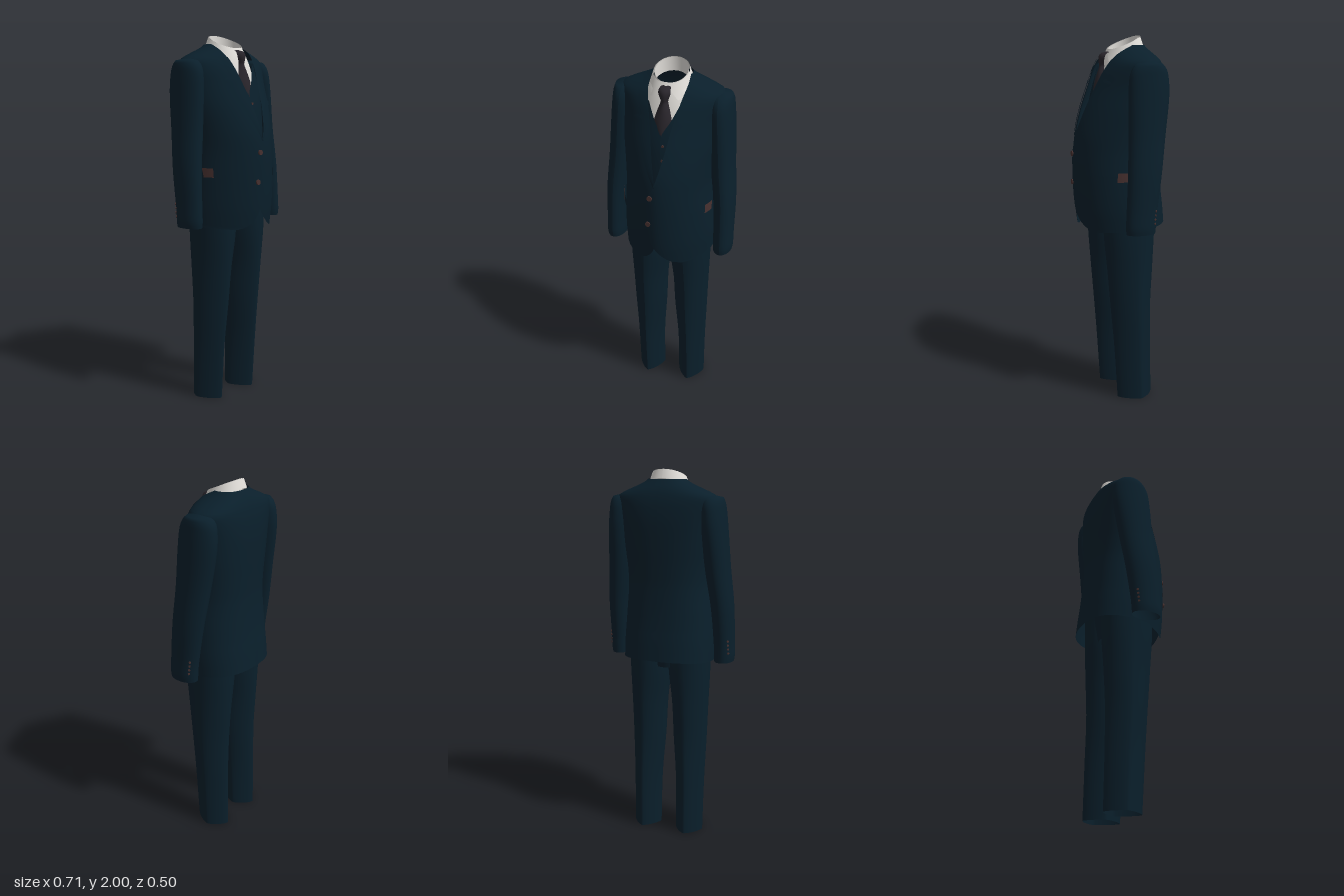
import * as THREE from 'three';

const mat = (name, color) => {
  const m = new THREE.MeshStandardMaterial({ color, side: THREE.DoubleSide });
  m.name = name;
  return m;
};

// Smooth interpolation through rows [y, a, b, ...] sorted by rising y
function at(rows, y) {
  const n = rows.length - 1;
  y = Math.min(Math.max(y, rows[0][0]), rows[n][0]);
  let i = 0;
  while (i < n - 1 && y > rows[i + 1][0]) i++;
  const A = rows[i], B = rows[i + 1], h = B[0] - A[0], t = (y - A[0]) / h;
  const slope = (j, k) => {
    const p = rows[Math.max(j - 1, 0)], q = rows[Math.min(j + 1, n)];
    return (q[k] - p[k]) / (q[0] - p[0]);
  };
  const t2 = t * t, t3 = t2 * t;
  return A.slice(1).map((a, j) => (2 * t3 - 3 * t2 + 1) * a + (t3 - 2 * t2 + t) * h * slope(i, j + 1)
    + (3 * t2 - 2 * t3) * B[j + 1] + (t3 - t2) * h * slope(i + 1, j + 1));
}

// Signed power, for superellipse sections
const pw = (v, e) => Math.sign(v) * Math.abs(v) ** e;

// Point on a loft of rows [y, centreX, halfWidth, frontZ, backZ, frontPointedness, backPointedness]; angle 0 is the front
function point(rows, a, y, off = 0) {
  const [cx, hw, zf, zb, ef = 1, eb = ef] = at(rows, y), zc = zb + (zf - zb) * 0.45;
  const s = Math.sin(a), c = Math.cos(a), e = c < 0 ? eb : ef;
  return [cx + hw * pw(s, e) + off * s, y, zc + (c > 0 ? zf - zc : zc - zb) * pw(c, e) + off * c];
}

// Angle at which the front of a loft reaches x
function angleAt(rows, x, y) {
  const [, hw, , , ef = 1] = at(rows, y);
  return Math.asin(pw(THREE.MathUtils.clamp(x / hw, -1, 1), 1 / ef));
}

// Grid surface from fn(u, v), mirrored in x when side is -1
function sheet(fn, nu, nv, side = 1) {
  const pos = [], idx = [];
  for (let j = 0; j <= nv; j++) for (let i = 0; i <= nu; i++) {
    const [x, y, z] = fn(i / nu, j / nv);
    pos.push(side * x, y, z);
    if (i < nu && j < nv) {
      const a = j * (nu + 1) + i, b = a + 1, d = a + nu + 1, c = d + 1;
      if (side > 0) idx.push(a, b, c, a, c, d);
      else idx.push(a, c, b, a, d, c);
    }
  }
  const g = new THREE.BufferGeometry();
  g.setAttribute('position', new THREE.Float32BufferAttribute(pos, 3));
  g.setIndex(idx);
  g.computeVertexNormals();
  return g;
}

const mix = THREE.MathUtils.lerp;
const TAU = Math.PI * 2;

const BODY = [
  [0.98, 0, 0.245, 0.22, -0.24], [1.1, 0, 0.245, 0.235, -0.23], [1.25, 0, 0.238, 0.243, -0.215],
  [1.4, 0, 0.228, 0.243, -0.205], [1.5, 0, 0.232, 0.232, -0.205], [1.62, 0, 0.245, 0.198, -0.207],
  [1.74, 0, 0.255, 0.15, -0.207], [1.82, 0, 0.268, 0.115, -0.2], [1.865, 0, 0.268, 0.088, -0.19],
  [1.885, 0, 0.235, 0.076, -0.183], [1.905, 0, 0.188, 0.063, -0.173], [1.93, 0, 0.128, 0.045, -0.155],
  [1.95, 0, 0.1, 0.025, -0.14]].map(r => [...r, 1.12, 0.82]);
// Front edge of the jacket: [y, left panel, right panel]
const EDGE = [
  [0.98, 0.12, 0.12], [1.0, 0.07, 0.07], [1.05, 0.012, 0.025], [1.1, -0.02, 0.01], [1.2, -0.042, 0.003],
  [1.38, -0.045, -0.003], [1.45, -0.01, 0.005], [1.6, 0.03, 0.03], [1.74, 0.056, 0.056],
  [1.85, 0.082, 0.082], [1.92, 0.098, 0.098], [1.95, 0.095, 0.095]];
const VEST = [
  [1.08, 0, 0.19, 0.15, -0.15], [1.3, 0, 0.19, 0.166, -0.15], [1.45, 0, 0.19, 0.166, -0.15],
  [1.6, 0, 0.19, 0.155, -0.15], [1.69, 0, 0.19, 0.138, -0.15], [1.84, 0, 0.17, 0.095, -0.15]];
const VEST_EDGE = [[1.08, 0.05], [1.12, 0.01], [1.2, 0], [1.6, 0], [1.69, 0.002], [1.76, 0.042], [1.84, 0.08]];
const SHIRT = [
  [1.64, 0, 0.17, 0.13, -0.1], [1.78, 0, 0.15, 0.1, -0.1], [1.88, 0, 0.12, 0.07, -0.1], [1.93, 0, 0.09, 0.045, -0.1]];
const SLEEVE = [
  [1.0, 0.303, 0.05, 0.08, -0.078], [1.03, 0.304, 0.053, 0.084, -0.08], [1.1, 0.303, 0.053, 0.081, -0.086],
  [1.3, 0.296, 0.058, 0.07, -0.114], [1.5, 0.275, 0.063, 0.058, -0.143], [1.7, 0.26, 0.064, 0.052, -0.17],
  [1.8, 0.253, 0.062, 0.042, -0.167], [1.845, 0.25, 0.058, 0.02, -0.15], [1.868, 0.246, 0.046, -0.012, -0.12],
  [1.876, 0.235, 0.004, -0.06, -0.07]];
// Trouser legs, pressed to creases front and back towards the hem
const LEG = [
  [0.005, 0.127, 0.08, 0.053, -0.155, 1.45], [0.3, 0.127, 0.083, 0.072, -0.15, 1.4], [0.55, 0.122, 0.095, 0.092, -0.147, 1.3],
  [0.75, 0.12, 0.101, 0.108, -0.155, 1.2], [0.95, 0.113, 0.112, 0.123, -0.163, 1.05], [1.12, 0.113, 0.113, 0.125, -0.165, 1]];
const SEAT = [[0.96, 0, 0.1, 0.09, -0.13], [1.15, 0, 0.13, 0.122, -0.16]];

export function createModel() {
  const root = new THREE.Group();
  root.name = 'suit';
  const navy = mat('navy wool', 0x0a1f2b);
  const white = mat('white cotton', 0xe0ddd8);
  const tieGrey = mat('charcoal silk', 0x29252b);
  const brown = mat('brown button', 0x46302f);
  const add = (name, geo, m) => {
    const mesh = new THREE.Mesh(geo, m);
    mesh.name = name;
    root.add(mesh);
    return mesh;
  };
  // Closed loft through all of its rows
  const tube = (rows, nu, nv, side) => sheet((u, v) =>
    point(rows, u * TAU, mix(rows[0][0], rows[rows.length - 1][0], v)), nu, nv, side);
  // Thin patch lying on the jacket between two x values
  const patch = (x0, x1, y0, y1, off, side) => sheet((u, v) => {
    const y = mix(y0, y1, v);
    return point(BODY, angleAt(BODY, mix(x0, x1, u), y), y, off);
  }, 10, 3, side);
  const button = (name, p, r, dir) => {
    const b = add(name, new THREE.CylinderGeometry(r, r, 0.008, 16), brown);
    b.position.set(...p);
    b.quaternion.setFromUnitVectors(new THREE.Vector3(0, 1, 0), new THREE.Vector3(...dir).normalize());
  };

  for (const s of [1, -1]) {
    const side = s > 0 ? 'left' : 'right';
    const edge = y => at(EDGE, y)[s > 0 ? 0 : 1];
    const lift = s > 0 ? 0.006 : 0;

    // Jacket half from the front edge round to the back seam
    add(side + 'JacketPanel', sheet((u, v) => {
      const y = mix(0.98, 1.95, v);
      const a = mix(angleAt(BODY, edge(y), y), Math.PI, u);
      const p = point(BODY, a, y, lift * Math.max(0, Math.cos(a)));
      p[1] += 0.02 * (1 - Math.cos(a)) * Math.max(0, 1 - (y - 0.98) / 0.2);
      return p;
    }, 40, 64, s), navy);

    // Lapel folded back along the opening
    const LAPEL = [[1.45, 0.004], [1.6, 0.05], [1.74, 0.085], [1.765, 0.09], [1.775, 0.055], [1.88, 0.05]];
    add(side + 'Lapel', sheet((u, v) => {
      const y = mix(1.45, 1.88, v), x = edge(y) + at(LAPEL, y)[0] * u;
      return point(BODY, angleAt(BODY, x, y), y, 0.009 - 0.003 * u);
    }, 6, 50, s), navy);

    // Pocket flap and its lining
    add(side + 'PocketFlap', patch(0.14, 0.228, 1.25, 1.29, 0.008, s), navy);
    add(side + 'PocketLining', patch(0.21, 0.23, 1.262, 1.31, 0.013, s), brown);

    // Sleeve with cuff buttons
    add(side + 'Sleeve', tube(SLEEVE, 32, 60, s), navy);
    for (let i = 0; i < 4; i++) {
      const p = point(SLEEVE, 2.35, 1.055 + i * 0.022);
      button('cuffButton', [p[0] * s, p[1], p[2]], 0.006, [0.7 * s, 0, -0.7]);
    }

    add(side + 'TrouserLeg', tube(LEG, 36, 40, s), navy);

    // Waistcoat front
    add(side + 'Waistcoat', sheet((u, v) => {
      const y = mix(1.08, 1.84, v);
      return point(VEST, mix(angleAt(VEST, at(VEST_EDGE, y)[0], y), 1.7, u), y, s > 0 ? 0.003 : 0);
    }, 16, 40, s), navy);

    // Shirt collar leaf, cut away to a point at the front
    add(side + 'CollarLeaf', sheet((u, v) => {
      const a = mix(mix(0.62, 0.06, v), Math.PI, u), c = Math.cos(a);
      const yTop = 1.964 - 0.036 * c, yLow = 1.9 - 0.055 * c;
      const hw = mix(0.112, 0.09, v), r = mix(0.128, 0.086, v);
      return [hw * Math.sin(a), mix(yLow, yTop, v), -0.035 + (c > 0 ? r : mix(0.105, 0.09, v)) * c];
    }, 28, 6, s), white);
  }

  add('trouserSeat', tube(SEAT, 36, 10), navy);
  add('jacketVent', sheet((u, v) => {
    const y = mix(1.02, 1.25, v);
    return point(BODY, mix(Math.PI, Math.PI + 0.06, u), y, 0.006);
  }, 3, 8), navy);
  add('chestPocket', patch(0.09, 0.17, 1.63, 1.655, 0.009, 1), navy);

  // Shirt front and collar band
  add('shirtFront', sheet((u, v) => point(SHIRT, mix(-1.1, 1.1, u), mix(1.64, 1.93, v)), 20, 14), white);
  add('collarBand', sheet((u, v) => {
    const a = u * TAU, c = Math.cos(a);
    return [0.084 * Math.sin(a), mix(1.9 - 0.03 * c, 1.964 - 0.036 * c, v), -0.037 + 0.08 * c];
  }, 40, 2), white);

  // Tie rows [y, half width, depth]: blade, then knot
  const TIE = [
    [1.66, 0.02, 0.139], [1.7, 0.036, 0.137], [1.75, 0.046, 0.128], [1.8, 0.034, 0.115],
    [1.845, 0.019, 0.101], [1.855, 0.02, 0.103], [1.89, 0.031, 0.104], [1.91, 0.028, 0.09], [1.918, 0.02, 0.062]];
  add('tie', sheet((u, v) => {
    const y = mix(1.66, 1.918, v), [w, z] = at(TIE, y), k = u * 2 - 1;
    return [w * k, y, z - 0.02 * k * k];
  }, 10, 40), tieGrey);

  // Front buttons
  for (const [x, y] of [[-0.028, 1.39], [-0.04, 1.235]])
    button('jacketButton', [x, y, point(BODY, angleAt(BODY, x, y), y)[2] + 0.009], 0.014, [0, 0, 1]);
  for (let i = 0; i < 4; i++) {
    const y = 1.64 - i * 0.075;
    button('waistcoatButton', [0.012, y, at(VEST, y)[2] + 0.003], 0.007, [0, 0, 1]);
  }
  return root;
}
